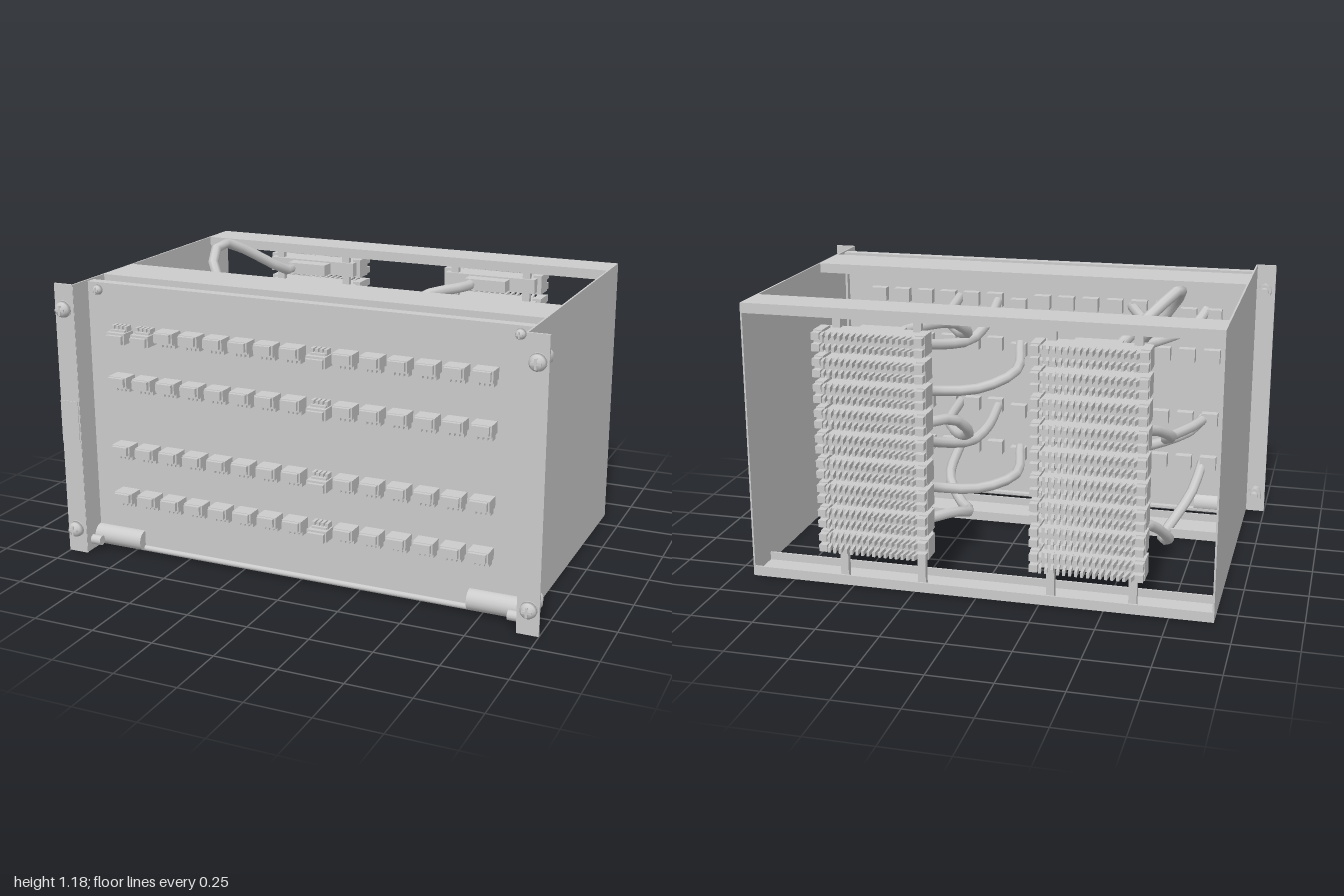
import * as THREE from 'three';
import { mergeGeometries } from 'three/addons/utils/BufferGeometryUtils.js';

const mat = new THREE.MeshStandardMaterial({ color: 0xcccccc, side: THREE.DoubleSide });

// Box given by its min and max corners
function box(x0, x1, y0, y1, z0, z1) {
  return new THREE.BoxGeometry(x1 - x0, y1 - y0, z1 - z0)
    .translate((x0 + x1) / 2, (y0 + y1) / 2, (z0 + z1) / 2);
}
// Cylinder along z or x between two coordinates
function rodZ(r, x, y, z0, z1, sides = 16) {
  return new THREE.CylinderGeometry(r, r, z1 - z0, sides).rotateX(Math.PI / 2).translate(x, y, (z0 + z1) / 2);
}
function rodX(r, x0, x1, y, z, sides = 16) {
  return new THREE.CylinderGeometry(r, r, Math.abs(x1 - x0), sides).rotateZ(Math.PI / 2).translate((x0 + x1) / 2, y, z);
}
function add(parent, name, ...geos) {
  const mesh = new THREE.Mesh(geos.length > 1 ? mergeGeometries(geos) : geos[0], mat);
  mesh.name = name;
  parent.add(mesh);
  return mesh;
}

// Screw with a domed head and crossed slot bars, facing +z
function screwHead(r, x, y, z, h) {
  const pts = [[0, h], [r * 0.55, h * 0.9], [r * 0.9, h * 0.5], [r, 0], [0, 0]].map(p => new THREE.Vector2(...p));
  const dome = new THREE.LatheGeometry(pts.reverse(), 18).rotateX(Math.PI / 2).translate(x, y, z);
  const a = r * 0.6, b = r * 0.14;
  return [dome, box(x - a, x + a, y - b, y + b, z, z + h * 1.04), box(x - b, x + b, y - a, y + a, z, z + h * 1.04)];
}

function buildCase(g) {
  for (const s of [-1, 1]) {
    const side = s < 0 ? 'right' : 'left';
    add(g, side + 'SidePanel', box(0.914, 0.921, 0.008, 1.125, -0.595, 0.655)).scale.x = 1;
    g.children.at(-1).position.x = s < 0 ? -1.835 : 0;
    const x0 = s < 0 ? -1 : 0.915;
    add(g, side + 'MountingEar', box(x0, x0 + 0.085, 0.005, 1.125, 0.648, 0.657));
    // Rack bolts with washer and nut
    for (const y of [0.105, 1.025]) {
      const x = s * 0.96;
      add(g, 'rackBolt', ...screwHead(0.033, x, y, 0.66, 0.029), rodZ(0.034, x, y, 0.652, 0.661, 18),
        rodZ(0.018, x, y, 0.535, 0.655), rodZ(0.031, x, y, 0.568, 0.602, 6));
    }
  }
  add(g, 'earPlate', box(-1, -0.92, 0.48, 0.65, 0.655, 0.66));

  // Top and bottom rails, each a strip with turned lips
  for (const [z0, z1] of [[-0.595, -0.435], [0.22, 0.435]]) {
    for (const top of [true, false]) {
      const y = top ? 1.117 : 0.008, l0 = top ? 1.085 : 0.008, l1 = l0 + 0.04;
      add(g, top ? 'topRail' : 'bottomRail', box(-0.918, 0.918, y, y + 0.008, z0, z1),
        box(-0.918, 0.918, l0, l1, z0, z0 + 0.008), box(-0.918, 0.918, l0, l1, z1 - 0.008, z1));
    }
  }
}

function buildFrontPanel(g) {
  // Shallow pan with flanges turned to the back
  add(g, 'frontPanel', box(-0.912, 0.912, 0.03, 1.12, 0.54, 0.555), box(-0.912, 0.912, 1.108, 1.12, 0.513, 0.545),
    box(-0.912, 0.912, 0.03, 0.04, 0.513, 0.545), box(-0.912, -0.902, 0.03, 1.12, 0.513, 0.545),
    box(0.902, 0.912, 0.03, 1.12, 0.513, 0.545));
  add(g, 'hingeRod', rodX(0.012, -0.9, 0.9, 0.024, 0.555, 10));
  for (const s of [-1, 1]) {
    add(g, 'hingeBarrel', rodX(0.042, s * 0.7, s * 0.915, 0.058, 0.555, 20), rodX(0.02, s * 0.87, s * 0.915, 0.05, 0.613, 12));
    add(g, 'panelScrew', ...screwHead(0.02, s * 0.865, 1.09, 0.555, 0.025), rodZ(0.009, s * 0.865, 1.09, 0.43, 0.55, 10));
  }
}

// Small front socket: flange, body, raised face, three tabs and a rear pin block
function socketGeometry() {
  const parts = [box(-0.04, 0.04, -0.022, 0.022, 0.55, 0.62), box(-0.034, 0.034, -0.014, 0.02, 0.615, 0.635),
    box(-0.032, 0.032, -0.03, -0.02, 0.55, 0.6), box(-0.035, 0.035, -0.03, 0.03, 0.5, 0.542)];
  for (const x of [-0.028, -0.009, 0.009, 0.028])
    parts.push(box(x - 0.006, x + 0.006, -0.044, -0.018, 0.55, 0.59));
  return mergeGeometries(parts);
}
function buildSockets(g) {
  const geo = socketGeometry();
  [0.94, 0.74, 0.455, 0.255].forEach((y, row) => {
    for (let c = 0; c < 15; c++) {
      const socket = add(g, 'frontSocket', geo);
      const flip = c === 8 || (row === 0 && c < 2);
      socket.position.set(-0.755 + c * 0.1075, flip ? y - 0.022 : y, 0);
      if (flip) socket.rotation.z = Math.PI;
    }
  });
}

// Rear plug: body, two rows of slightly fanned fins and latches at both ends
function plugGeometry() {
  const parts = [box(-0.2, 0.2, -0.03, 0.03, -0.635, -0.52), box(-0.09, 0.09, -0.024, 0.024, -0.525, -0.46)];
  for (const s of [-1, 1]) {
    parts.push(box(s * 0.2 - 0.018, s * 0.2 + 0.018, -0.04, 0.04, -0.645, -0.56));
    for (const y of [-0.022, 0.022]) {
      parts.push(box(s * 0.2 - 0.016, s * 0.2 + 0.016, y - 0.014, y + 0.014, -0.675, -0.63));
      for (let i = 0; i < 8; i++) {
        const x = s * (0.012 + i * 0.0235);
        parts.push(new THREE.BoxGeometry(0.011, 0.02, 0.065).rotateY(x * 1.2).translate(x, y, -0.658));
      }
    }
  }
  return mergeGeometries(parts);
}
const rowY = i => 0.21 + i * 0.1;
function buildPlugs(g) {
  const geo = plugGeometry();
  for (const cx of [-0.447, 0.388]) {
    for (let i = 0; i < 9; i++) add(g, 'rearPlug', geo).position.set(cx, rowY(i), 0);
    for (const s of [-1, 1])
      add(g, 'plugPost', box(cx + s * 0.16 - 0.016, cx + s * 0.16 + 0.016, 0.012, 1.118, -0.555, -0.53));
  }
}

// Cable routes: [x, z] points running from the plugs to the front panel
const leftRoutes = [
  [[-0.6, -0.15], [-0.66, 0.03], [-0.61, 0.18], [-0.7, 0.42], [-0.73, 0.53]],
  [[-0.42, -0.22], [-0.3, -0.12], [-0.26, 0.05], [-0.31, 0.22], [-0.36, 0.53]],
  [[-0.42, -0.24], [-0.2, -0.07], [-0.12, 0.08], [-0.13, 0.22], [-0.27, 0.53]],
  [[-0.56, -0.15], [-0.5, 0.08], [-0.52, 0.2], [-0.68, 0.4], [-0.72, 0.53]],
  [[-0.69, -0.15], [-0.67, -0.02], [-0.52, 0.08], [-0.52, 0.22], [-0.4, 0.53]],
];
const rightRoutes = [
  [[0.2, -0.2], [0.16, -0.1], [0.23, 0.02], [0.34, 0.22], [0.38, 0.53]],
  [[0.38, -0.2], [0.33, -0.05], [0.17, 0.07], [0.05, 0.22], [0.1, 0.53]],
  [[0.4, -0.18], [0.53, -0.07], [0.6, 0.05], [0.58, 0.22], [0.6, 0.53]],
  [[0.37, -0.2], [0.3, -0.05], [0.21, 0.1], [0.18, 0.25], [0.2, 0.53]],
];
function buildCables(g) {
  const panelY = [0.255, 0.255, 0.255, 0.455, 0.455, 0.74, 0.74, 0.94, 0.94];
  [[-0.52, leftRoutes], [0.32, rightRoutes]].forEach(([cx, routes], side) => {
    for (let i = 0; i < 9; i++) {
      const y0 = rowY(i), y1 = panelY[i];
      const route = side === 0 && i === 8 ? routes[4] : routes[i % 4];
      const pts = [[cx, y0, -0.5], [cx, y0, -0.42]];
      route.forEach(([x, z], k) => {
        const sag = [-0.01, -0.05, -0.07, -0.04, 0][k];
        pts.push([x, THREE.MathUtils.lerp(y0, y1, k / 4) + sag, z]);
      });
      // The uppermost cable loops above the case, the lowest one dips to the floor
      if (side === 0 && i === 8) { pts[2][1] = 1.165; pts[3][1] = 1.1; }
      if (side === 0 && i === 0) { pts[3][1] = 0.08; pts[4][1] = 0.024; pts[5][1] = 0.15; }
      const curve = new THREE.CatmullRomCurve3(pts.map(p => new THREE.Vector3(...p)));
      add(g, 'cable', new THREE.TubeGeometry(curve, 16, 0.022, 8));
    }
  });
}

export function createModel() {
  const model = new THREE.Group();
  model.name = 'rackUnit';
  const parts = { case: buildCase, frontPanelAssembly: buildFrontPanel, frontSockets: buildSockets,
    rearPlugs: buildPlugs, cables: buildCables };
  for (const [name, build] of Object.entries(parts)) {
    const group = new THREE.Group();
    group.name = name;
    build(group);
    model.add(group);
  }
  return model;
}
